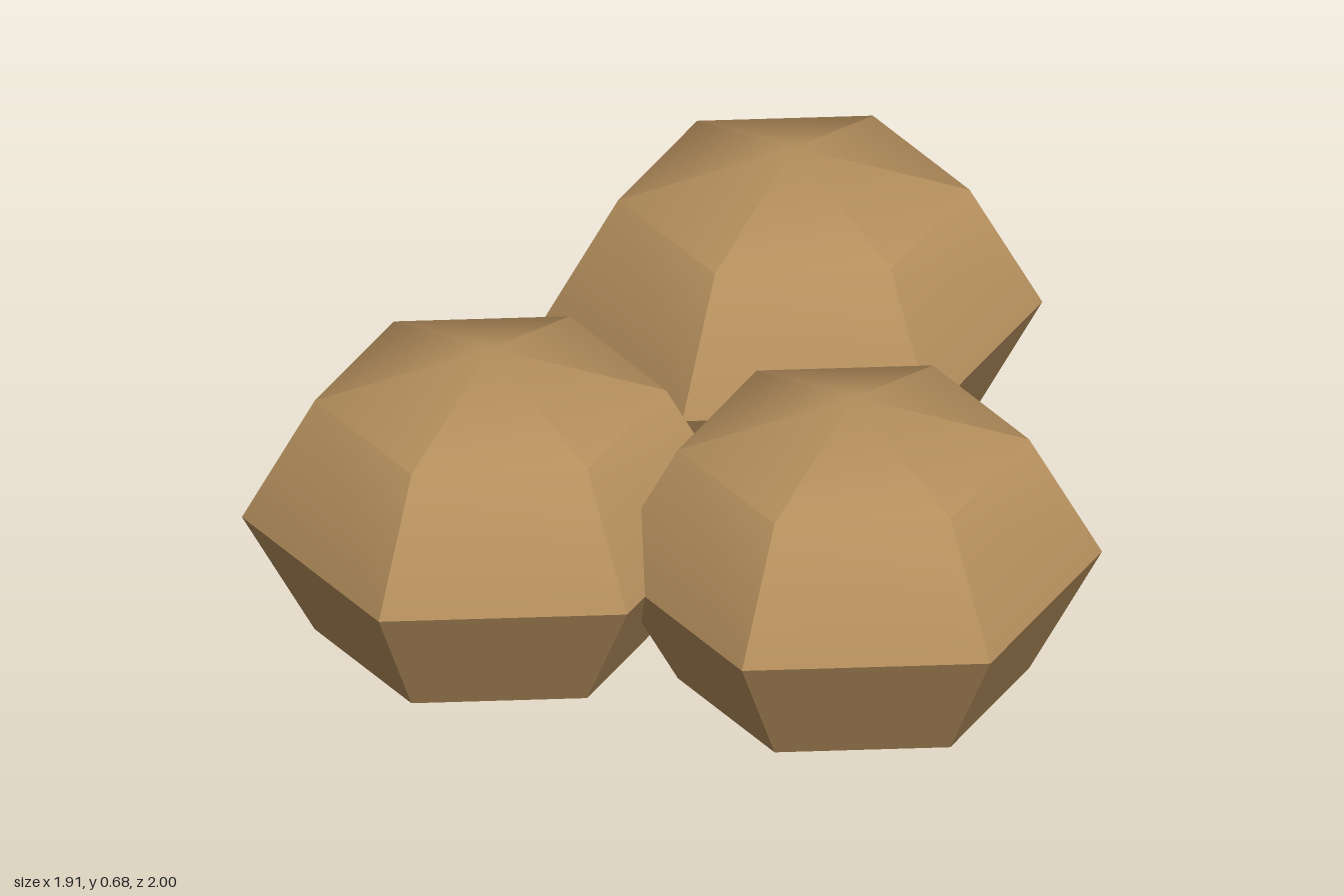
import * as THREE from 'three';
import { toCreasedNormals } from 'three/addons/utils/BufferGeometryUtils.js';

export function createModel() {
  const model = new THREE.Group();
  model.name = 'podCluster';
  const tan = new THREE.MeshStandardMaterial({ color: 0xb58f5d, side: THREE.DoubleSide });
  tan.name = 'tan';

  // Six-sided squashed dome, cut off and open at the bottom
  const radius = 0.527, height = 0.396;
  const sphere = new THREE.SphereGeometry(radius, 6, 3, Math.PI / 2, Math.PI * 2, 0, Math.PI * 0.75);
  sphere.scale(1, height / radius, 1);
  sphere.translate(0, height * Math.SQRT1_2, 0);
  // Smooth from cap to wall, sharp between the walls
  const podGeometry = toCreasedNormals(sphere, THREE.MathUtils.degToRad(50));

  const places = [
    ['leftPod', 0.498, -0.473],
    ['rightPod', -0.502, -0.122],
    ['frontPod', 0.027, 0.473],
  ];
  for (const [name, x, z] of places) {
    const pod = new THREE.Mesh(podGeometry, tan);
    pod.name = name;
    pod.position.set(x, 0, z);
    model.add(pod);
  }
  return model;
}
